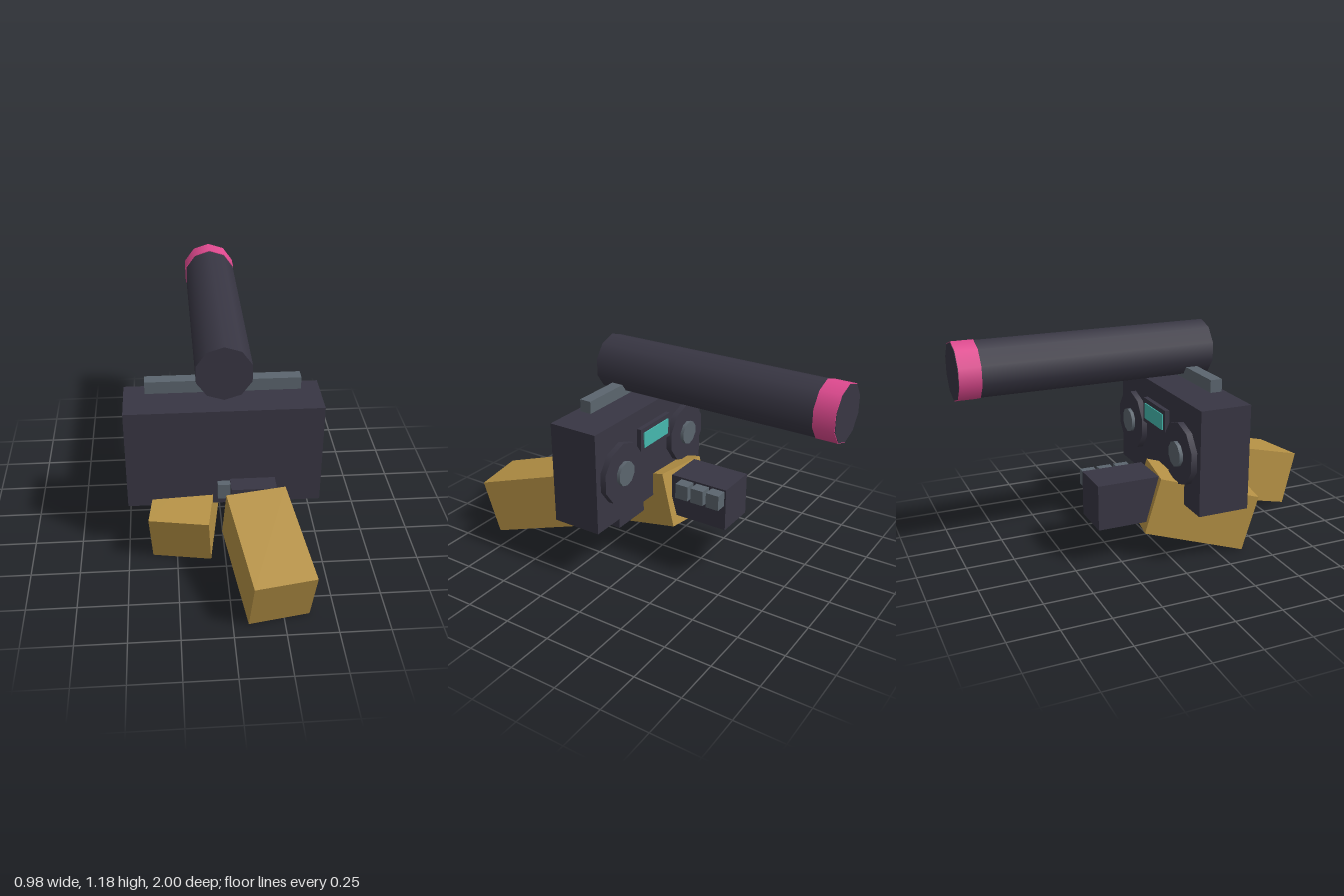
import * as THREE from 'three';

function mat(name, color) {
  const m = new THREE.MeshStandardMaterial({ color });
  m.name = name;
  return m;
}

export function createModel() {
  const dark = mat('charcoal', 0x383643);
  const gold = mat('gold', 0xb59145);
  const grey = mat('slate grey', 0x5b656e);
  const pink = mat('pink', 0xe04a90);
  const teal = mat('teal', 0x46b8ae);

  const model = new THREE.Group();
  model.name = 'forearmsWithStereo';

  function add(parent, name, geometry, material, x, y, z) {
    const mesh = new THREE.Mesh(geometry, material);
    mesh.name = name;
    mesh.position.set(x, y, z);
    parent.add(mesh);
    return mesh;
  }
  const box = (w, h, d) => new THREE.BoxGeometry(w, h, d);
  // Ten-sided cylinder lying along z
  const tube = (r, len) => new THREE.CylinderGeometry(r, r, len, 10).rotateX(Math.PI / 2);

  // Stereo body and its floating carry handle
  add(model, 'stereoBody', box(0.984, 0.548, 0.272), dark, 0, 0.566, 0.204);
  add(model, 'carryHandle', box(0.766, 0.064, 0.062), grey, 0, 0.923, 0.203);

  // Speakers on the back face
  for (const side of [-1, 1]) {
    add(model, 'speakerRim', tube(0.164, 0.04), dark, side * 0.301, 0.568, 0.056);
    add(model, 'speakerCone', tube(0.066, 0.04), grey, side * 0.301, 0.568, 0.037);
  }

  // Display between the speakers
  add(model, 'displayBezel', box(0.275, 0.135, 0.03), dark, 0, 0.675, 0.058);
  add(model, 'displayScreen', box(0.225, 0.085, 0.008), teal, 0, 0.675, 0.041);

  // Long barrel with a bright band at its rear end
  add(model, 'barrel', tube(0.1425, 1.312), dark, 0, 1.031, -0.344);
  add(model, 'barrelBand', tube(0.146, 0.108), pink, 0, 1.031, -0.944);

  // Arms: a tilted sleeve, a gloved hand and three knuckles on its inner side
  for (const side of [-1, 1]) {
    const arm = new THREE.Group();
    arm.name = side > 0 ? 'leftArm' : 'rightArm';
    arm.position.z = side > 0 ? 0.673 : 0.193;
    model.add(arm);

    const sleeve = add(arm, 'sleeve', box(0.305, 0.303, 0.548), gold, side * 0.1875, 0.221, 0);
    sleeve.rotation.set(0.28, side * 0.174, 0, 'YXZ');

    add(arm, 'hand', box(0.228, 0.238, 0.331), dark, side * 0.142, 0.32, -0.402);
    for (let i = 0; i < 3; i++) {
      add(arm, 'knuckle', box(0.075, 0.084, 0.075), grey, side * 0.002, 0.387, -0.334 - i * 0.0935);
    }
  }
  return model;
}
